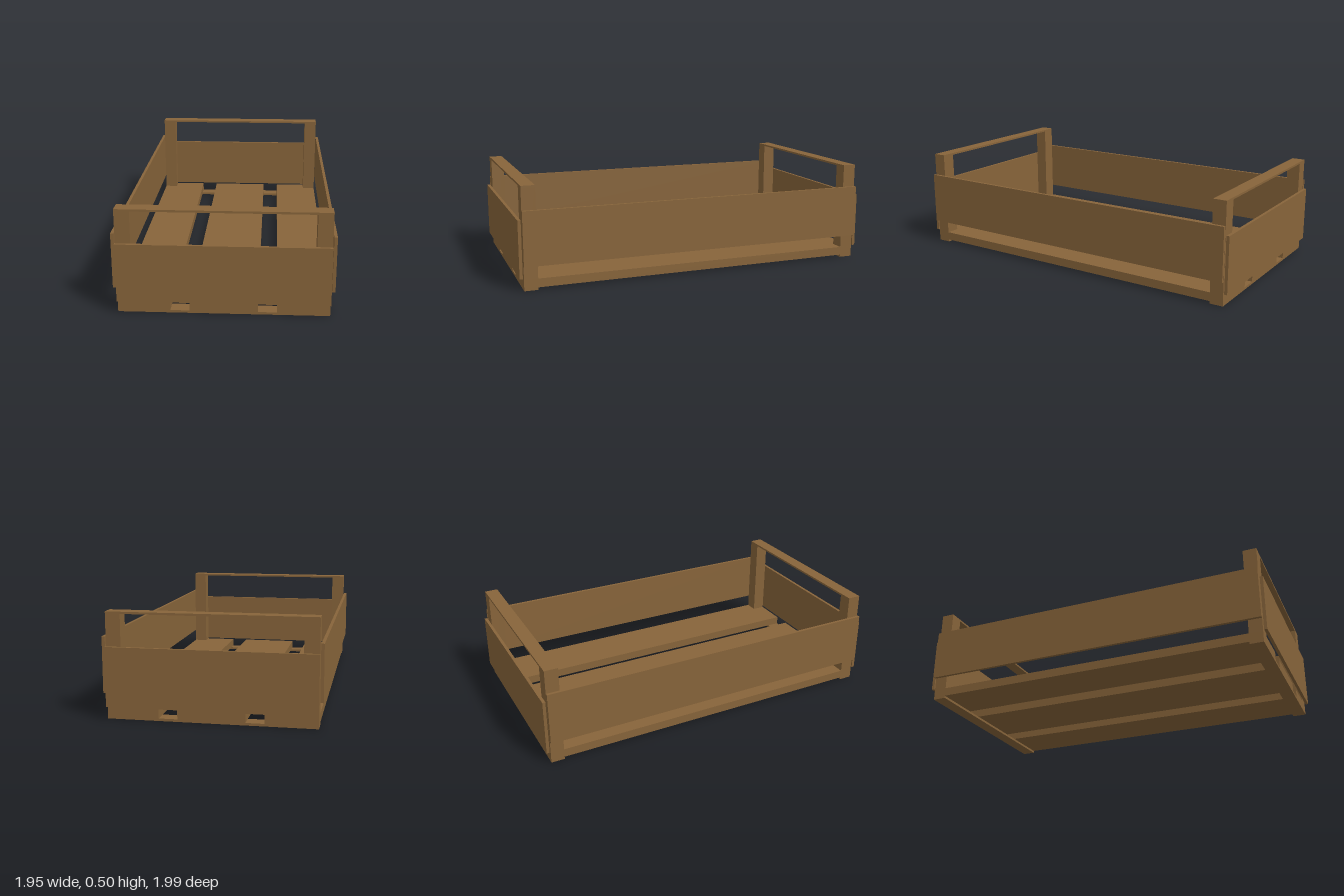
import * as THREE from 'three';

const wood = new THREE.MeshStandardMaterial({ color: 0x87643a });

// Box given by its [min, max] range on each axis
function board(name, [x0, x1], [y0, y1], [z0, z1]) {
  const mesh = new THREE.Mesh(new THREE.BoxGeometry(x1 - x0, y1 - y0, z1 - z0), wood);
  mesh.position.set((x0 + x1) / 2, (y0 + y1) / 2, (z0 + z1) / 2);
  mesh.name = name;
  return mesh;
}

// Range mirrored to the given side
const side = (s, a, b) => (s > 0 ? [a, b] : [-b, -a]);

export function createModel() {
  const crate = new THREE.Group();
  crate.name = 'crate';

  const L = 0.887, W = 0.487; // half length and half width of the frame
  const inner = 0.82; // inner edge of posts and rails
  const floorTop = 0.055, railTop = 0.5;

  // Floor slats with two gaps
  for (const z of [[-W, -0.245], [-0.157, 0.157], [0.245, W]]) {
    crate.add(board('floorSlat', [-L, L], [0.012, floorTop], z));
  }

  for (const s of [-1, 1]) {
    // Thin rails under the floor and across the top of the posts
    crate.add(board('bottomRail', side(s, inner, L), [0, 0.012], [-W, W]));
    crate.add(board('topRail', side(s, inner, L), [0.49, railTop], [-W, W]));

    // End and side boards, just clear of the frame
    crate.add(board('endBoard', side(s, 0.892, 0.907), [0.06, 0.34], [-0.488, 0.488]));
    crate.add(board('sideBoard', [-0.888, 0.888], [0.12, 0.385], side(s, 0.491, 0.506)));

    // Corner posts
    for (const t of [-1, 1]) {
      crate.add(board('cornerPost', side(s, inner, L), [floorTop, 0.49], side(t, W - 0.07, W)));
    }
  }

  // The crate stands turned on the ground
  crate.rotation.y = THREE.MathUtils.degToRad(47.1);

  const model = new THREE.Group();
  model.name = 'woodenCrate';
  model.add(crate);
  return model;
}
